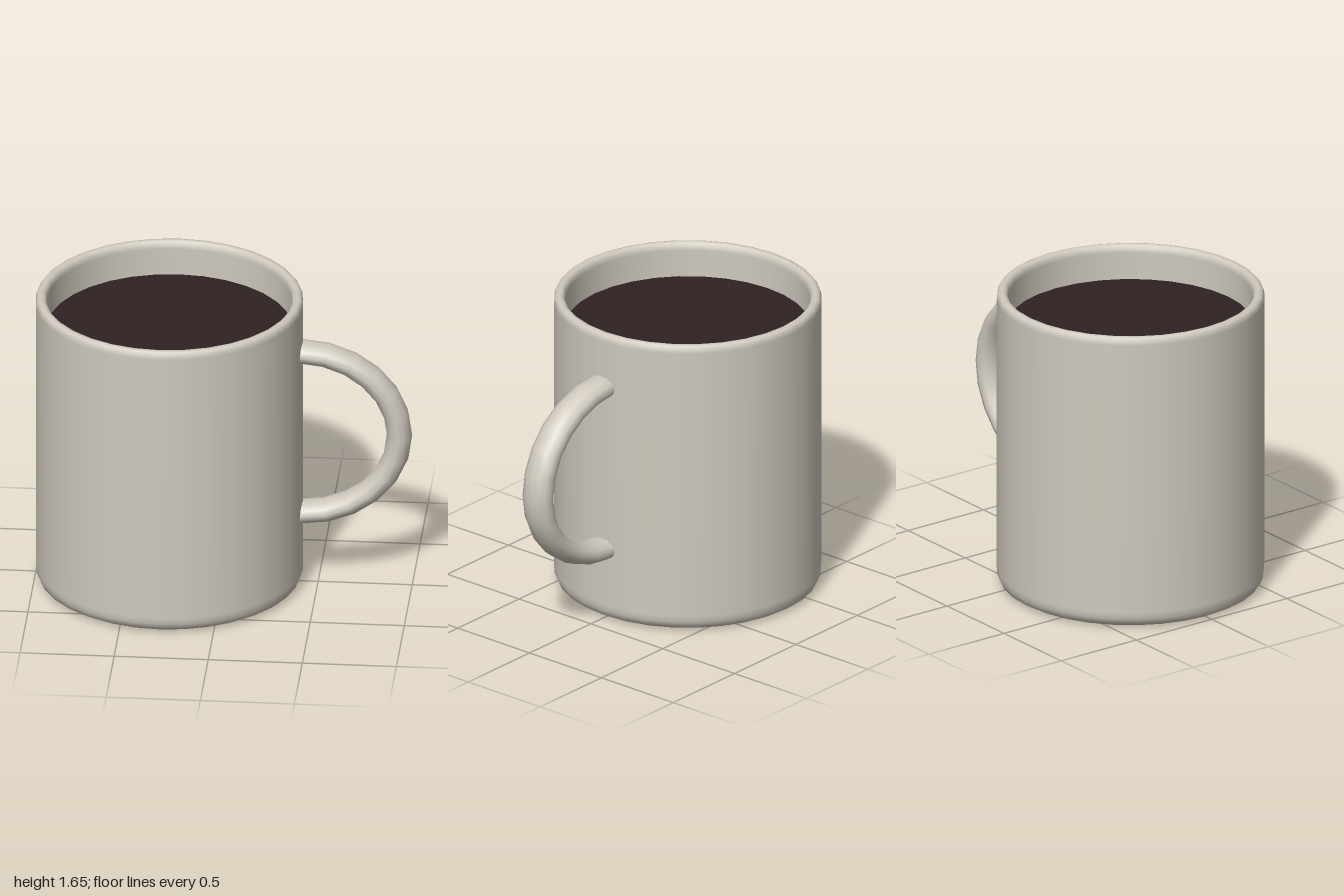
import * as THREE from 'three';

export function createModel() {
  const model = new THREE.Group();
  model.name = 'mug';
  const ceramic = new THREE.MeshStandardMaterial({ name: 'warm grey ceramic', color: 0xd0cabf });
  const coffee = new THREE.MeshStandardMaterial({ name: 'dark coffee', color: 0x2e2222 });
  const cupX = -0.29;

  const add = (name, geometry, material, x, y) => {
    const mesh = new THREE.Mesh(geometry, material);
    mesh.name = name;
    mesh.position.set(x, y, 0);
    model.add(mesh);
    return mesh;
  };

  // Cup: base, outer wall, rounded lip, inner wall and floor in one profile
  const profile = [
    [0, 0], [0.62, 0], [0.66, 0.003], [0.693, 0.022], [0.707, 0.055], [0.71, 0.09],
    [0.71, 1.61], [0.708, 1.632], [0.698, 1.647], [0.68, 1.652], [0.663, 1.647],
    [0.653, 1.632], [0.65, 1.61], [0.65, 0.12], [0.63, 0.07], [0.58, 0.06], [0, 0.06],
  ].map(([r, y]) => new THREE.Vector2(r, y));
  add('cup', new THREE.LatheGeometry(profile, 32), ceramic, cupX, 0);

  // Drink surface, its edge tucked just inside the wall
  const surface = new THREE.CircleGeometry(0.652, 32);
  surface.rotateX(-Math.PI / 2);
  surface.rotateY(Math.PI / 2);
  add('coffeeSurface', surface, coffee, cupX, 1.46);

  // Handle: half ring, stretched outwards and widened sideways
  const ring = new THREE.TorusGeometry(0.47, 0.06, 12, 12, Math.PI);
  ring.rotateZ(-Math.PI / 2);
  ring.scale(1.122, 1, 1.5);
  add('handle', ring, ceramic, 0.405, 0.88);

  return model;
}
